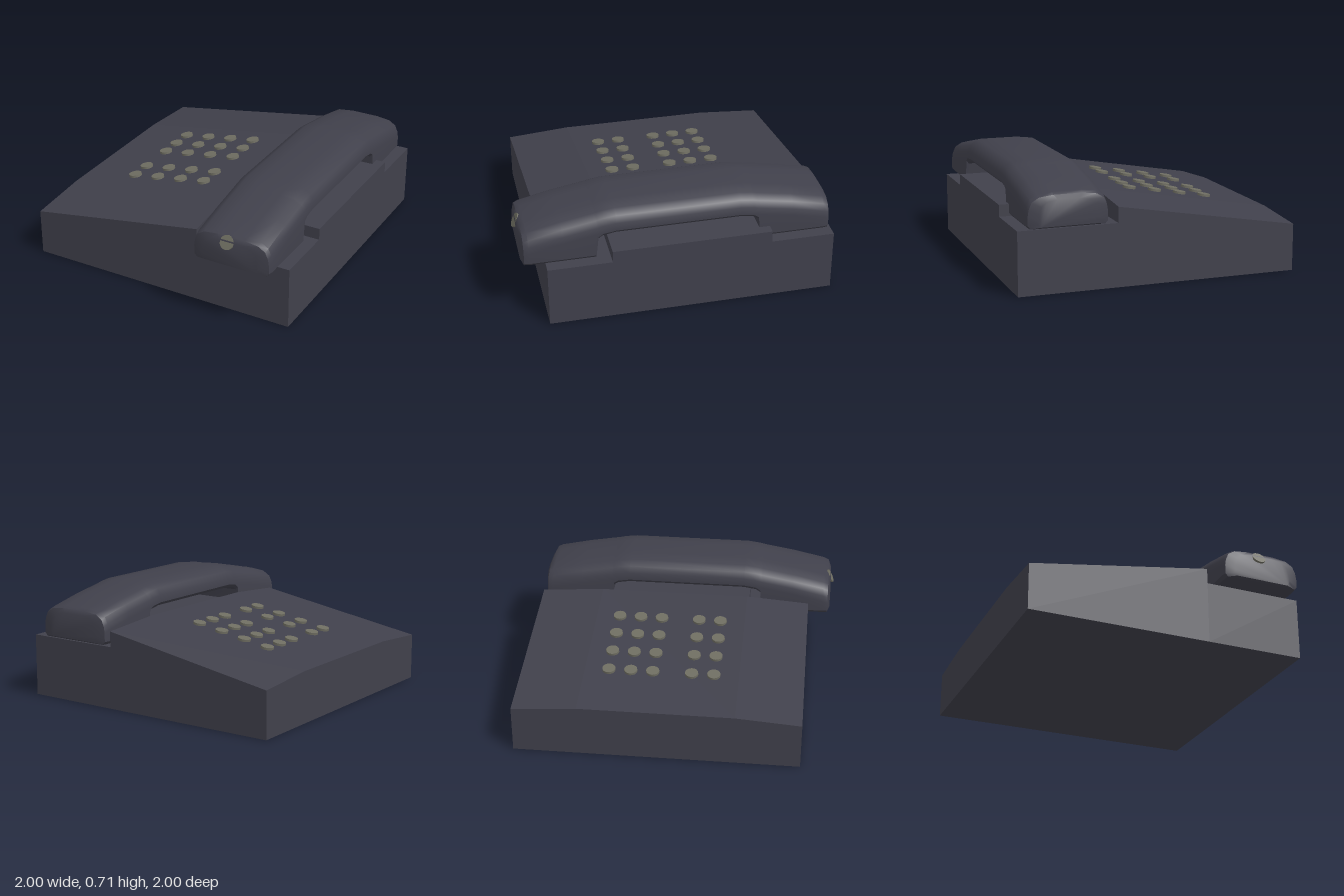
import * as THREE from 'three';
import { toCreasedNormals } from 'three/addons/utils/BufferGeometryUtils.js';

const plastic = new THREE.MeshStandardMaterial({ color: 0x40404b });
plastic.name = 'dark slate plastic';
const keyGrey = new THREE.MeshStandardMaterial({ color: 0x6e6d61 });
keyGrey.name = 'warm grey keys';

// Extrude an x-y outline between two depths
function slab(points, z0, z1) {
  const shape = new THREE.Shape(points.map(([x, y]) => new THREE.Vector2(x, y)));
  return new THREE.ExtrudeGeometry(shape, { depth: z1 - z0, bevelEnabled: false }).translate(0, 0, z0);
}

function add(parent, name, geometry, material) {
  const mesh = new THREE.Mesh(geometry, material);
  mesh.name = name;
  parent.add(mesh);
  return mesh;
}

const BACK = -0.9, RIDGE = 0.27, FRONT = 0.9;
const SLOPE = 0.2 / (RIDGE - BACK);
const panelHeight = z => 0.33 + SLOPE * (z - BACK);

// Slightly arched wedge carrying the keys: its top rises towards the ridge
function wedgeGeometry() {
  const g = slab([[-0.9, 0], [0.9, 0], [0.9, 0.3], [0.49, 0.33], [-0.49, 0.33], [-0.9, 0.3]], BACK, RIDGE);
  const p = g.attributes.position;
  for (let i = 0; i < p.count; i++) {
    if (p.getY(i) > 0.1) p.setY(i, p.getY(i) + SLOPE * (p.getZ(i) - BACK));
  }
  g.computeVertexNormals();
  return g;
}

// Rounded handset cross-section in the z-y plane
function ring(top, bottom, w) {
  const side = [
    [0.93, bottom], [1, bottom + 0.02], [1, top - 0.125], [0.975, top - 0.085],
    [0.9, top - 0.042], [0.72, top - 0.014], [0.36, top - 0.003],
  ].map(([f, y]) => [f * w, y]);
  return [...side, ...side.slice().reverse().map(([z, y]) => [-z, y])];
}

// Handset lofted along x; half the sections are given and mirrored
function handsetGeometry() {
  const half = [ // distance from middle, top, bottom, half width
    [0.39, 0.715, 0.563, 0.256],
    [0.47, 0.705, 0.55, 0.256],
    [0.5, 0.698, 0.53, 0.256],
    [0.515, 0.695, 0.4, 0.256],
    [0.72, 0.66, 0.4, 0.256],
    [0.925, 0.615, 0.4, 0.256],
    [0.955, 0.602, 0.4, 0.25],
    [0.972, 0.575, 0.41, 0.19],
  ];
  const sections = [...half.slice().reverse().map(([x, ...s]) => [-x, ...s]), ...half];
  const pos = [], index = [];
  let n = 0;
  for (const [x, top, bottom, w] of sections) {
    const pts = ring(top, bottom, w);
    n = pts.length;
    for (const [z, y] of pts) pos.push(x, y, z);
  }
  const last = (sections.length - 1) * n;
  for (let i = 0; i < last; i += n) {
    for (let j = 0; j < n; j++) {
      const k = (j + 1) % n;
      index.push(i + j, i + n + j, i + k, i + n + j, i + n + k, i + k);
    }
  }
  for (let j = 1; j < n - 1; j++) {
    index.push(0, j, j + 1, last, last + j + 1, last + j);
  }
  const g = new THREE.BufferGeometry();
  g.setAttribute('position', new THREE.Float32BufferAttribute(pos, 3));
  g.setIndex(index);
  return toCreasedNormals(g, 0.65);
}

export function createModel() {
  const model = new THREE.Group();
  model.name = 'deskTelephone';
  const phone = new THREE.Group();
  phone.name = 'phone';
  phone.rotation.y = 0.117; // stands slightly turned
  model.add(phone);

  // Body
  add(phone, 'keyPanel', wedgeGeometry(), plastic);
  add(phone, 'cradle', slab([
    [-0.9, 0], [0.9, 0], [0.9, 0.4], [0.5, 0.4], [0.5, 0.475],
    [-0.5, 0.475], [-0.5, 0.4], [-0.9, 0.4],
  ], RIDGE, FRONT), plastic);

  // Handset resting on the cradle
  const handset = new THREE.Group();
  handset.name = 'handset';
  handset.position.set(-0.073, 0, 0.58);
  phone.add(handset);
  add(handset, 'receiver', handsetGeometry(), plastic);
  const socket = add(handset, 'cordSocket', new THREE.CylinderGeometry(0.045, 0.045, 0.012, 16), keyGrey);
  socket.position.set(-0.968, 0.565, -0.02);
  socket.rotation.z = 1.1;

  // Keys in two blocks, lying on the sloping panel
  const keys = new THREE.Group();
  keys.name = 'keys';
  phone.add(keys);
  const keyShape = new THREE.CylinderGeometry(0.042, 0.043, 0.03, 16);
  for (const x of [-0.33, -0.19, 0.057, 0.197, 0.337]) {
    for (let row = 0; row < 4; row++) {
      const z = -0.53 + row * 0.174;
      const key = add(keys, 'key', keyShape, keyGrey);
      key.position.set(x, panelHeight(z), z);
      key.rotation.x = -Math.atan(SLOPE);
    }
  }
  return model;
}
